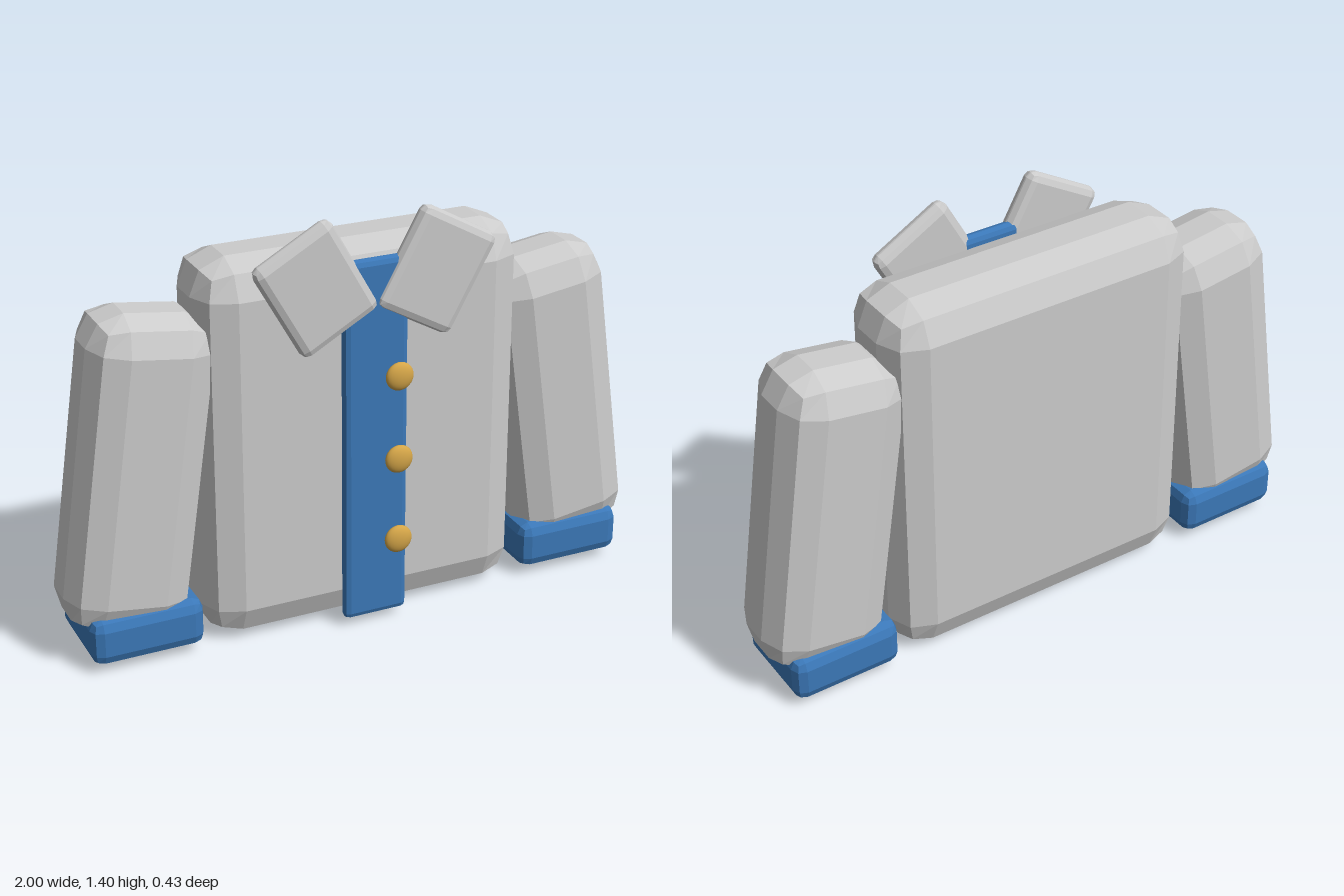
import * as THREE from 'three';
import { RoundedBoxGeometry } from 'three/addons/geometries/RoundedBoxGeometry.js';

const cloth = new THREE.MeshStandardMaterial({ color: 0xcccccc, flatShading: true });
const trim = new THREE.MeshStandardMaterial({ color: 0x3b78b8, flatShading: true });
const brass = new THREE.MeshStandardMaterial({ color: 0xd4a548 });

// Box with a two-step bevel on every edge
function bevelBox(name, size, radius, position, material, tilt = 0) {
  const mesh = new THREE.Mesh(new RoundedBoxGeometry(...size, 1, radius), material);
  mesh.name = name;
  mesh.position.set(...position);
  mesh.rotation.z = tilt;
  return mesh;
}

export function createModel() {
  const shirt = new THREE.Group();
  shirt.name = 'shirt';

  // Torso and the strip down its front
  shirt.add(bevelBox('torso', [1.1, 1.28, 0.335], 0.115, [0, 0.645, -0.045], cloth));
  shirt.add(bevelBox('placket', [0.22, 1.23, 0.045], 0.02, [0, 0.645, 0.148], trim));

  // Mirrored sleeves, cuffs and collar flaps
  for (const [side, s] of [['left', 1], ['right', -1]]) {
    shirt.add(bevelBox(side + 'Sleeve', [0.415, 1.047, 0.315], 0.11, [s * 0.734, 0.62, -0.045], cloth, s * 0.142));
    shirt.add(bevelBox(side + 'Cuff', [0.375, 0.16, 0.335], 0.038, [s * 0.757, 0.112, -0.045], trim));
    shirt.add(bevelBox(side + 'Collar', [0.29, 0.35, 0.06], 0.027, [s * 0.202, 1.192, 0.156], cloth, s * -0.51));
  }

  // Domed buttons, set off to one side of the placket
  const buttonGeometry = new THREE.SphereGeometry(0.047, 24, 16);
  for (let i = 0; i < 3; i++) {
    const button = new THREE.Mesh(buttonGeometry, brass);
    button.name = 'button' + (i + 1);
    button.scale.z = 0.45;
    button.position.set(0.065, 0.305 + i * 0.284, 0.194);
    shirt.add(button);
  }
  return shirt;
}
